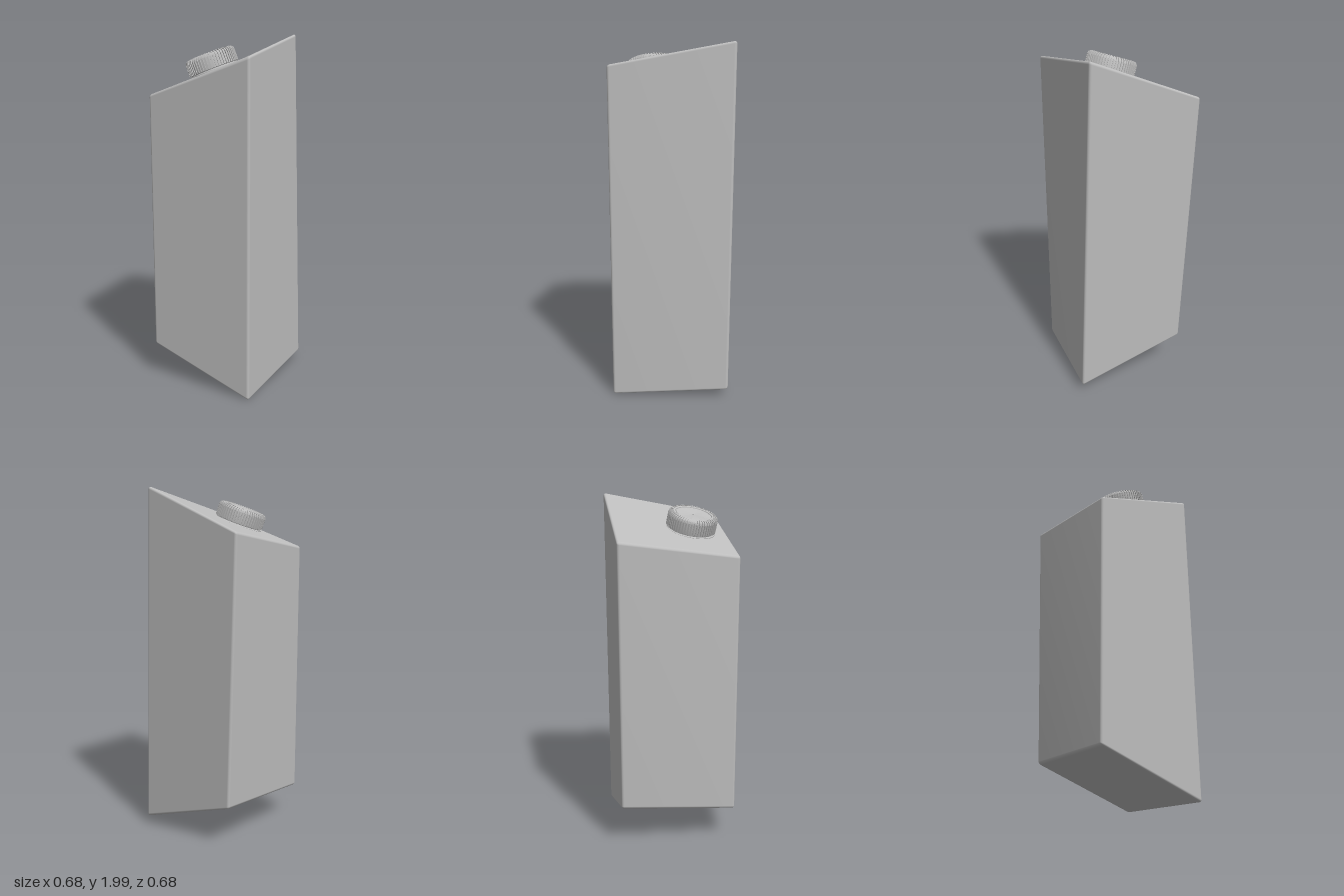
import * as THREE from 'three';
import { mergeGeometries, mergeVertices, toCreasedNormals } from 'three/addons/utils/BufferGeometryUtils.js';
import { RoundedBoxGeometry } from 'three/addons/geometries/RoundedBoxGeometry.js';

const V = (x, y, z) => new THREE.Vector3(x, y, z);

// Eight corners of the skewed carton: [left-hand, right-hand] in x, for back and front
const CORNERS = {
  bottom: { back: [V(-0.286, 0.252, -0.325), V(0.342, 0.047, -0.328)], front: [V(-0.298, 0.207, 0.337), V(0.336, -0.003, 0.337)] },
  top: { back: [V(-0.343, 1.753, -0.335), V(0.268, 2.005, -0.343)], front: [V(-0.301, 1.668, 0.337), V(0.327, 1.882, 0.334)] },
};

// Rounded box whose corners are pulled to the carton corners
function skewedBody() {
  const W = 0.63, H = 1.7, D = 0.67;
  const box = new RoundedBoxGeometry(W, H, D, 4, 0.015);
  box.deleteAttribute('normal');
  box.deleteAttribute('uv');
  const geo = mergeVertices(box, 1e-5);
  geo.clearGroups();
  const pos = geo.attributes.position;
  for (let i = 0; i < pos.count; i++) {
    const u = 0.5 - pos.getX(i) / W; // mirrored, so the face creases run the other way
    const v = pos.getY(i) / H + 0.5;
    const w = pos.getZ(i) / D + 0.5;
    const level = ({ back, front }) =>
      back[0].clone().lerp(back[1], u).lerp(front[0].clone().lerp(front[1], u), w);
    const p = level(CORNERS.bottom).lerp(level(CORNERS.top), v);
    pos.setXYZ(i, p.x, p.y, p.z);
  }
  // Restore the winding after mirroring
  const index = geo.index;
  for (let i = 0; i < index.count; i += 3) {
    const b = index.getX(i + 1);
    index.setX(i + 1, index.getX(i + 2));
    index.setX(i + 2, b);
  }
  geo.computeVertexNormals();
  return geo;
}

// Turned screw cap with base flange, chamfer, recessed top and centre dimple
function capBody() {
  const profile = [
    [0.142, -0.012], [0.142, 0.012], [0.139, 0.015], [0.134, 0.016], [0.134, 0.019],
    [0.137, 0.021], [0.136, 0.085], [0.132, 0.095], [0.124, 0.101], [0.113, 0.104],
    [0.108, 0.104], [0.105, 0.102], [0.103, 0.097], [0.099, 0.097], [0.098, 0.1],
    [0.017, 0.1], [0.012, 0.098], [0.004, 0.097], [0.004, 0.1], [0, 0.101],
  ].map(([r, y]) => new THREE.Vector2(r, y));
  return toCreasedNormals(new THREE.LatheGeometry(profile, 96), 0.6);
}

// Grip ribs that run up the side and over the chamfer
function capRibs(count) {
  const shape = new THREE.Shape([
    [0.128, 0.021], [0.142, 0.021], [0.142, 0.086], [0.137, 0.098],
    [0.127, 0.105], [0.115, 0.107], [0.113, 0.1], [0.128, 0.09],
  ].map(([r, y]) => new THREE.Vector2(r, y)));
  const ribs = [];
  for (let i = 0; i < count; i++) {
    const rib = new THREE.ExtrudeGeometry(shape, { depth: 0.007, bevelEnabled: false });
    rib.translate(0, 0, -0.0035);
    rib.rotateY((i / count) * Math.PI * 2);
    ribs.push(rib);
  }
  return mergeGeometries(ribs);
}

export function createModel() {
  const grey = new THREE.MeshStandardMaterial({ color: 0xbcbcbc });
  grey.name = 'light grey';

  const model = new THREE.Group();
  model.name = 'carton';
  const add = (parent, name, geometry) => {
    const mesh = new THREE.Mesh(geometry, grey);
    mesh.name = name;
    parent.add(mesh);
  };

  add(model, 'cartonBody', skewedBody());

  // Cap stands square to the sloping top
  const cap = new THREE.Group();
  cap.name = 'screwCap';
  cap.position.set(-0.002, 1.792, 0.12);
  cap.quaternion.setFromUnitVectors(V(0, 1, 0), V(-0.345, 1, 0.135).normalize());
  add(cap, 'capBody', capBody());
  add(cap, 'capRibs', capRibs(56));
  model.add(cap);

  return model;
}
